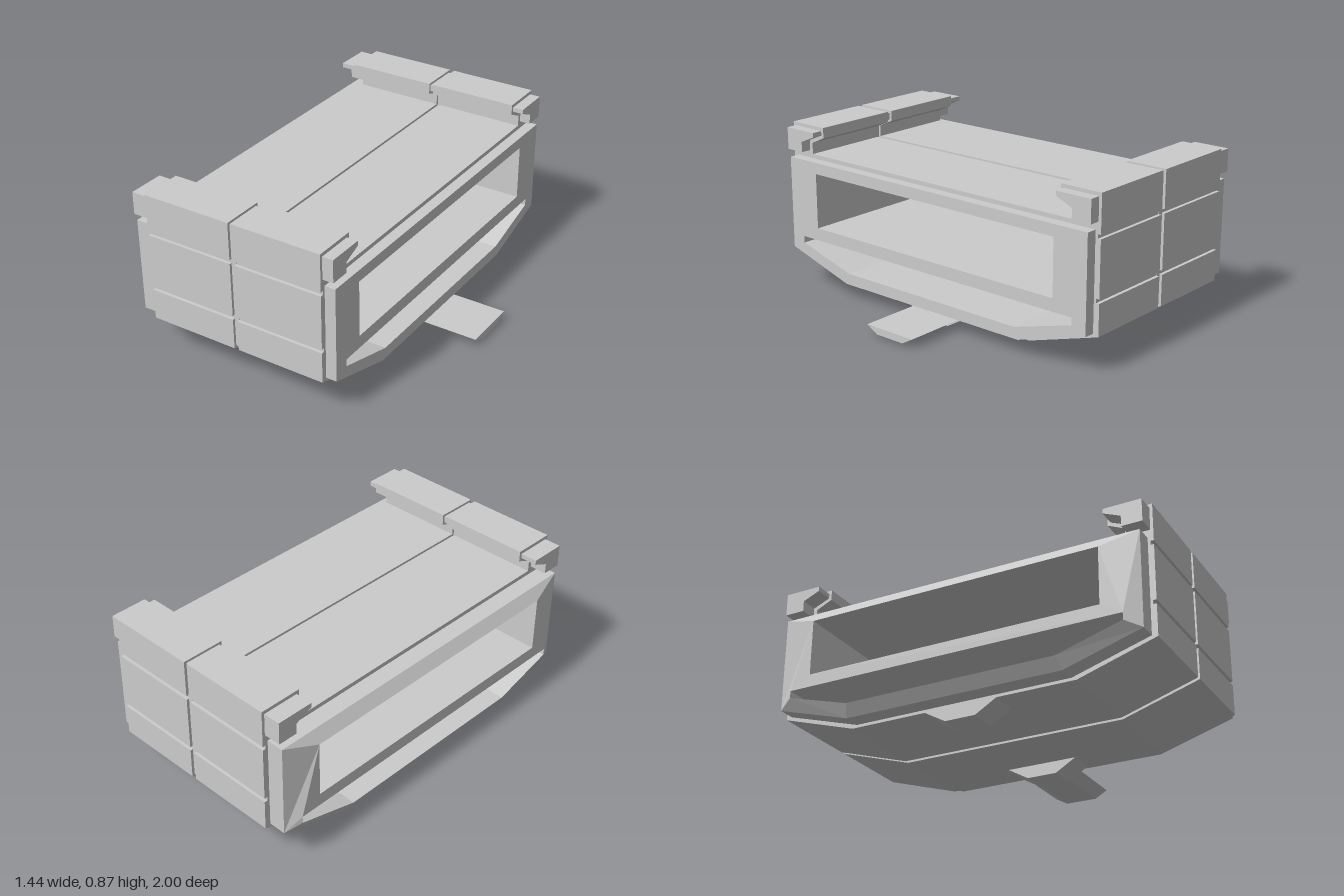
import * as THREE from 'three';

const material = new THREE.MeshStandardMaterial({ color: 0xcccccc, flatShading: true });

// Mirrors a half outline (bottom centre to top centre) into a closed one
const mirrored = (half) => [...half, ...[...half].reverse().map(([z, y]) => [-z, y])];
const toPoints = (list) => list.map(([z, y]) => new THREE.Vector2(z, y));

// Extrudes a cross-section (z, y) along x from x0 to x1
function sweep(name, outline, x0, x1, holes = []) {
  const shape = new THREE.Shape(toPoints(outline));
  for (const hole of holes) shape.holes.push(new THREE.Path(toPoints(hole)));
  const geometry = new THREE.ExtrudeGeometry(shape, { depth: x1 - x0, bevelEnabled: false });
  geometry.rotateY(Math.PI / 2).translate(x0, 0, 0);
  const mesh = new THREE.Mesh(geometry, material);
  mesh.name = name;
  return mesh;
}

// Notch in the side wall, listed upwards
const notch = (y) => [[1, y], [0.983, y], [0.983, y + 0.021], [1, y + 0.021]];

export function createModel() {
  const model = new THREE.Group();
  model.name = 'container';

  const frameOutline = mirrored([[0.575, 0.08], [0.97, 0.2], [0.97, 0.695]]);
  const windowHole = mirrored([[0.78, 0.34], [0.78, 0.635]]);
  const slotHole = mirrored([[0.555, 0.14], [0.89, 0.237], [0.89, 0.274]]);

  // Outer shell: two grooved halves with a slightly smaller core between them
  const shellOutline = mirrored([
    [0.6, 0.065], [1, 0.19], ...notch(0.351), ...notch(0.655),
    [1, 0.87], [0.775, 0.87], [0.775, 0.815], [0.86, 0.777], [0.86, 0.717],
  ]);
  const coreOutline = mirrored([
    [0.597, 0.076], [0.986, 0.199], [0.986, 0.858],
    [0.788, 0.858], [0.788, 0.823], [0.872, 0.785], [0.872, 0.705],
  ]);
  model.add(
    sweep('rightShell', shellOutline, -0.59, -0.11, [frameOutline]),
    sweep('shellCore', coreOutline, -0.11, -0.085, [frameOutline]),
    sweep('leftShell', shellOutline, -0.085, 0.39, [frameOutline]),
  );

  // Inner frame with two through openings, whose rims stand out on one end
  const frame = sweep('innerFrame', frameOutline, -0.68, 0.447, [windowHole, slotHole]);
  const p = frame.geometry.attributes.position;
  for (let i = 0; i < p.count; i++) {
    const isRim = Math.abs(p.getZ(i)) < 0.95 && p.getY(i) > 0.1 && p.getY(i) < 0.66;
    if (isRim && p.getX(i) < -0.67) p.setX(i, -0.72);
  }
  frame.geometry.computeVertexNormals();
  model.add(frame);

  // Rail cores sticking out of the raised edges
  const rail = [[0.985, 0.735], [0.985, 0.852], [0.79, 0.852], [0.79, 0.828], [0.88, 0.79], [0.88, 0.735]];
  for (const side of [1, -1]) {
    model.add(sweep('railCore', rail.map(([z, y]) => [z * side, y]), -0.68, 0.447));
  }

  // Feet
  const foot = mirrored([[0.08, 0], [0.195, 0.067]]);
  model.add(sweep('rightFoot', foot, -0.59, -0.44), sweep('leftFoot', foot, 0.245, 0.39));

  // Tongue
  const tongue = mirrored([[0.085, 0.013], [0.15, 0.05]]);
  model.add(sweep('tongue', tongue, 0.38, 0.717));

  return model;
}
